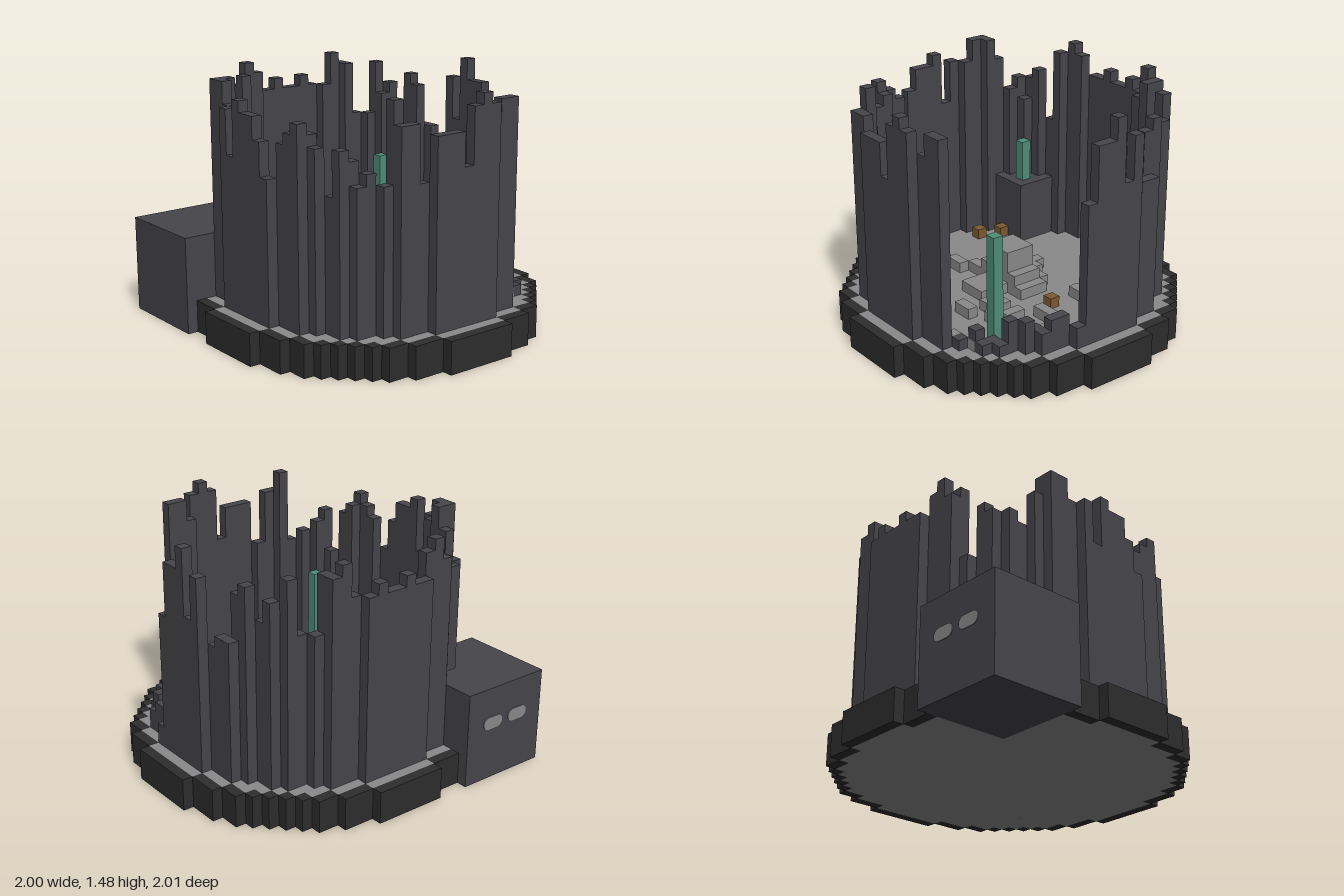
import * as THREE from 'three';
import { mergeGeometries } from 'three/addons/utils/BufferGeometryUtils.js';

const U = 2 / 31; // one cell of the grid

const paint = (name, color) => {
  const m = new THREE.MeshStandardMaterial({ color });
  m.name = name;
  return m;
};

// Box filling cells i0..i1 across, j0..j1 deep, from level y0 up to y1
function cells(i0, i1, j0, j1, y0, y1) {
  const g = new THREE.BoxGeometry((i1 - i0 + 1) * U, (y1 - y0) * U, (j1 - j0 + 1) * U);
  return g.translate(((i0 + i1) / 2) * U, ((y0 + y1) / 2) * U, ((j0 + j1) / 2) * U);
}

const inVault = (i, j) => i <= -7 && j <= -7;

// Widest cell index of a circle of radius r in row j, or -1
const reach = (r, j) => (Math.abs(j) < r ? Math.floor(Math.sqrt(r * r - j * j)) : -1);

// Wall heights in cells, counter-clockwise seen from below: one row per quarter
const WALL = [
  [21, 21, 16, 5, 6, 6, 5, 5, 6, 6, 4, 4, 4, 5, 4, 0, 22, 22, 20, 22, 23, 22],
  [17, 20, 20, 20, 16, 21, 21, 23, 16, 17, 16, 18, 19, 15, 19, 20, 21, 20, 19, 16, 19, 21],
  [21, 22, 17, 21, 21, 23, 23, 23, 21, 18, 19, 17, 19, 20, 15, 22, 21, 23, 22, 20, 20, 21],
  [20, 20, 21, 20, 20, 23, 22, 22, 17, 17, 22, 19, 20, 18, 21, 20, 16, 16, 15, 21, 17, 23],
].flat();

export function createModel() {
  const group = new THREE.Group();
  const stone = paint('dark stone', 0x45454b);
  const rimMat = paint('black stone', 0x2d2d2d);
  const grey = paint('grey stone', 0x8a8a8a);
  const teal = paint('teal', 0x4f8f79);
  const brown = paint('brown', 0x7d5a32);

  const add = (name, parts, material) => {
    const mesh = new THREE.Mesh(mergeGeometries(parts), material);
    mesh.name = name;
    group.add(mesh);
  };

  // Round floor and its dark outer rim
  const floor = [];
  const rim = [];
  for (let j = -15; j <= 15; j++) {
    const inner = reach(14.5, j);
    const outer = reach(15.5, j);
    if (inner >= 0) floor.push(cells(j <= -7 ? Math.max(-6, -inner) : -inner, inner, j, j, 0, 3));
    for (let i = -outer; i <= outer; i++) {
      if (Math.abs(i) > inner && !inVault(i, j)) rim.push(cells(i, i, j, j, 0, 3));
    }
  }
  add('floor', floor, grey);
  add('rim', rim, rimMat);

  // Ruined ring wall: one column per cell, sorted by angle
  const ring = [];
  for (let i = -13; i <= 13; i++) {
    for (let j = -13; j <= 13; j++) {
      const d = Math.hypot(i, j);
      if (d >= 12.5 && d < 13.5) ring.push([i, j, (Math.atan2(j, i) + 2 * Math.PI) % (2 * Math.PI)]);
    }
  }
  ring.sort((a, b) => a[2] - b[2]);
  const wall = [];
  ring.forEach(([i, j], k) => {
    if (WALL[k] > 3) wall.push(cells(i, i, j, j, inVault(i, j) ? 9 : 3, WALL[k]));
  });
  add('ringWall', wall, stone);

  // Square vault at the back corner, with two rounded slots
  add('vault', [cells(-15, -7, -15, -7, 0, 9)], stone);
  const slots = [-1, 1].map((s) => {
    const w = 0.035;
    const h = 0.038;
    const shape = new THREE.Shape();
    shape.absarc(w, 0, h, -Math.PI / 2, Math.PI / 2);
    shape.absarc(-w, 0, h, Math.PI / 2, Math.PI * 1.5);
    const g = new THREE.ExtrudeGeometry(shape, { depth: 0.006, bevelEnabled: false, curveSegments: 4 });
    return g.translate(-11 * U + s * 0.097, 0.36, -15.5 * U - 0.005);
  });
  add('vaultSlots', slots, grey);

  // Pale chip on the broken part of the wall
  add('wallChip', [new THREE.BoxGeometry(U, U, 0.006).translate(8 * U, 3.5 * U, 10.5 * U + 0.002)], grey);

  // Four pillars
  const pillars = [];
  for (const i of [-8, 8]) {
    for (const j of [-8, 8]) pillars.push(cells(i, i, j, j, inVault(i, j) ? 9 : 3, 13));
  }
  add('pillars', pillars, teal);

  // Stepped mound in the middle
  add('mound', [
    [-3, 2, -2, 1, 4], [-2, 3, -1, 1, 4], [-1, 1, 2, 4, 4], [-1, -1, -4, -4, 4],
    [-1, 0, -3, -3, 4], [-4, -4, 1, 1, 4], [-2, 2, -1, 1, 5], [-1, 1, -1, 1, 7],
  ].map(([a, b, c, d, top]) => cells(a, b, c, d, 3, top)), grey);

  // Loose rubble
  add('rubble', [
    [-6, -5, 2, 2], [6, 7, -3, -3], [7, 9, 2, 2], [10, 10, 3, 4], [4, 4, 4, 4],
    [3, 3, 5, 5], [6, 6, 4, 5], [5, 5, 6, 6], [2, 3, 7, 7], [6, 6, 11, 11],
  ].map(([a, b, c, d]) => cells(a, b, c, d, 3, 4)), grey);

  // Small crates
  add('crates', [[6, 0], [-10, -4], [-9, -6]].map(([i, j]) => cells(i, i, j, j, 3, 4)), brown);

  return group;
}
